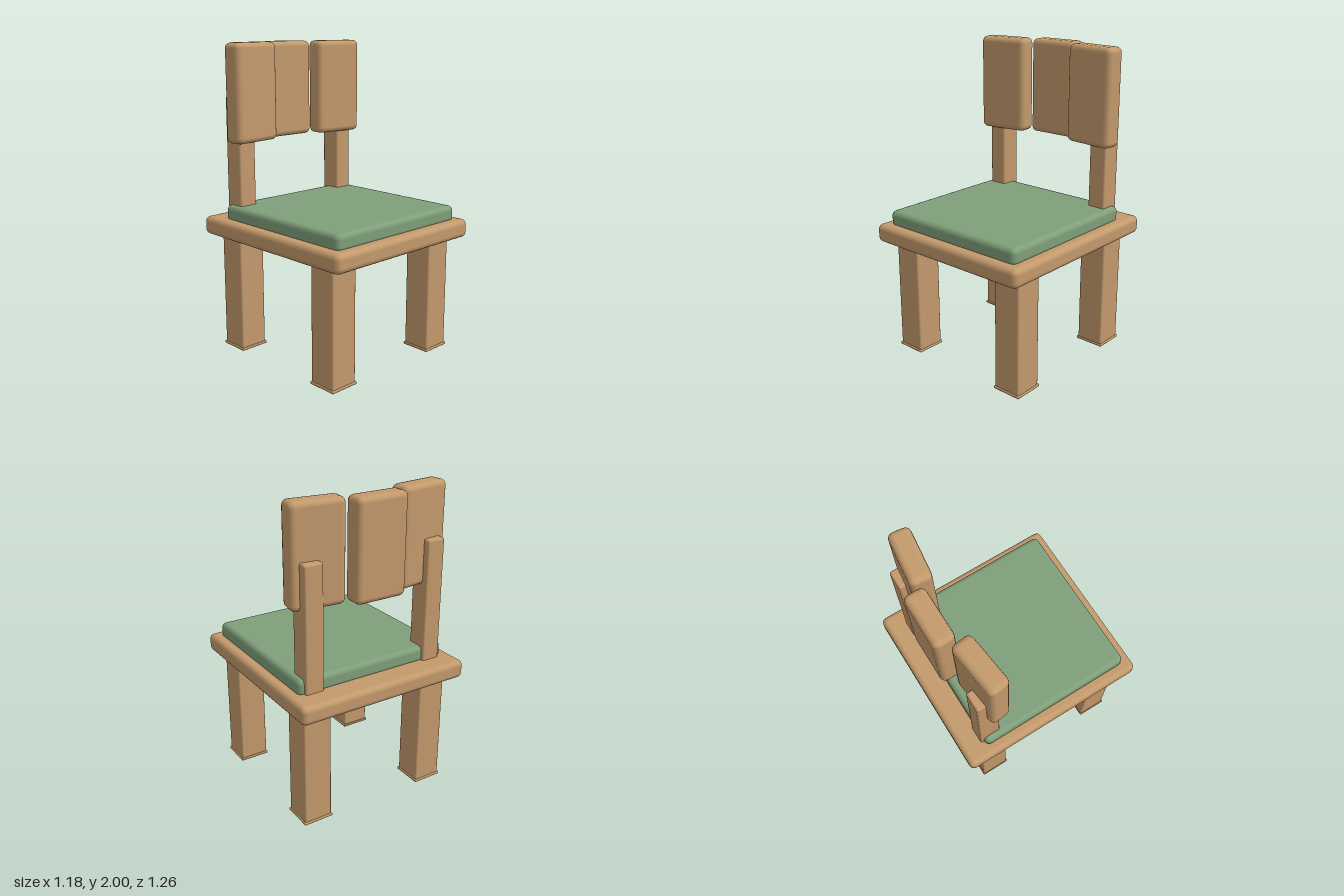
import * as THREE from 'three';
import { RoundedBoxGeometry } from 'three/addons/geometries/RoundedBoxGeometry.js';

const wood = new THREE.MeshStandardMaterial({ name: 'wood', color: 0xc49a6c });
const fabric = new THREE.MeshStandardMaterial({ name: 'green fabric', color: 0x7f9f7a });

export function createModel() {
  const chair = new THREE.Group();
  chair.name = 'chair';

  // Softly rounded block, placed by its centre
  const block = (name, material, [w, h, d], radius, [x, y, z], turn = 0) => {
    const mesh = new THREE.Mesh(new RoundedBoxGeometry(w, h, d, 2, radius), material);
    mesh.name = name;
    mesh.position.set(x, y, z);
    mesh.rotation.y = turn;
    chair.add(mesh);
  };

  // Seat board and cushion
  block('seat', wood, [1.18, 0.12, 1.26], 0.036, [0, 0.82, 0]);
  block('cushion', fabric, [1.05, 0.11, 1.04], 0.034, [0, 0.915, 0.045]);

  for (const side of [-1, 1]) {
    const sideName = side > 0 ? 'left' : 'right';

    // Legs with thin foot plates
    for (const end of [-1, 1]) {
      const place = `${sideName}${end > 0 ? 'Front' : 'Back'}`;
      block(`${place}Leg`, wood, [0.188, 0.75, 0.188], 0.012, [side * 0.427, 0.383, end * 0.427]);
      block(`${place}Foot`, wood, [0.2, 0.018, 0.2], 0.006, [side * 0.427, 0.009, end * 0.427]);
    }

    // Back posts and the angled outer back pads
    block(`${sideName}Post`, wood, [0.124, 0.81, 0.14], 0.014, [side * 0.426, 1.26, -0.425]);
    block(`${sideName}BackPad`, wood, [0.345, 0.625, 0.135], 0.036, [side * 0.361, 1.6875, -0.386], -side * 0.12);
  }

  // Middle back pad, set behind the outer two
  block('middleBackPad', wood, [0.345, 0.625, 0.135], 0.036, [0, 1.6875, -0.477]);

  return chair;
}
